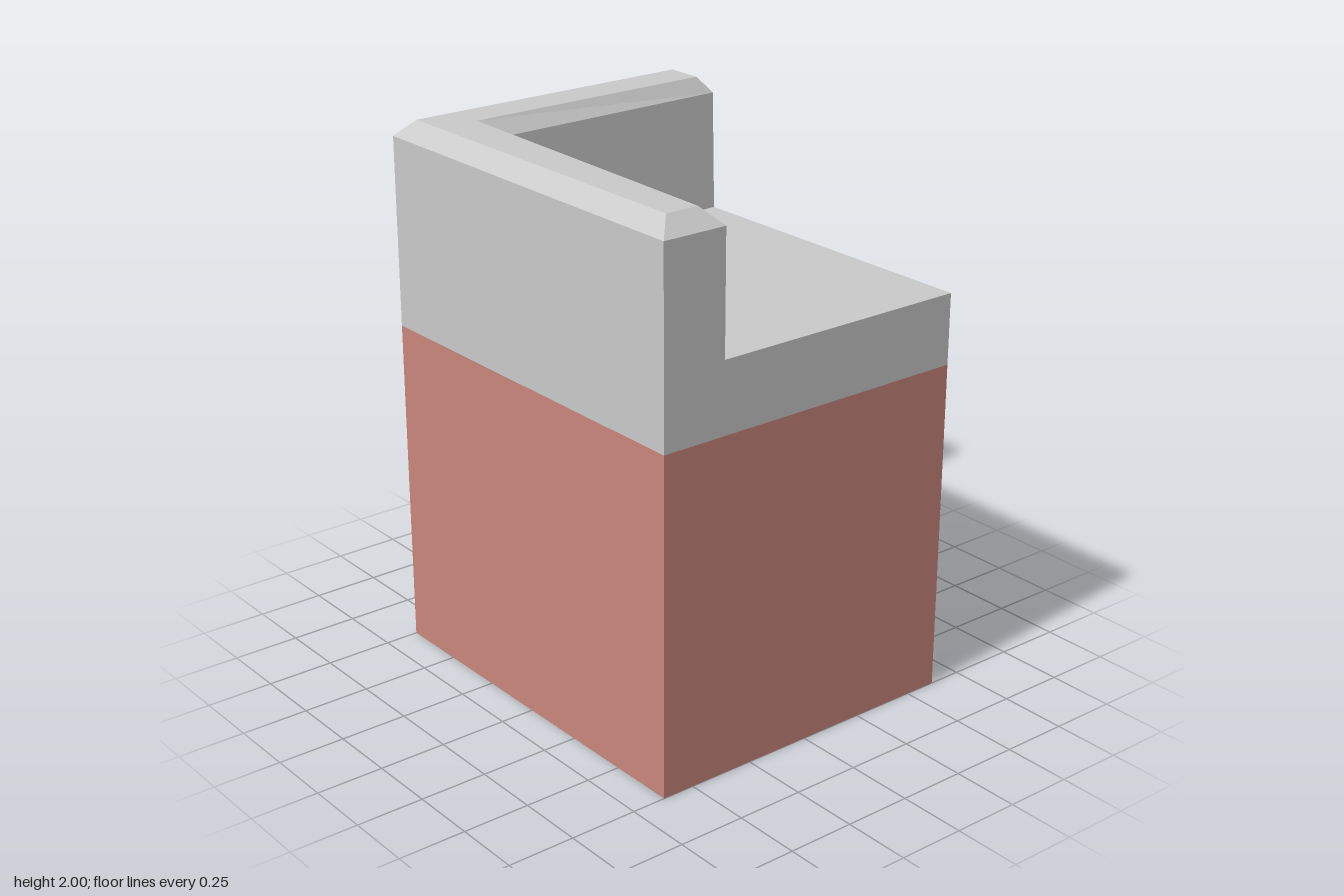
import * as THREE from 'three';

const stone = new THREE.MeshStandardMaterial({ name: 'pale grey', color: 0xcacaca, flatShading: true });
const brick = new THREE.MeshStandardMaterial({ name: 'dusty red', color: 0xca877c, flatShading: true });

// Block filling the full footprint between two heights
function block(name, material, y0, y1) {
  const mesh = new THREE.Mesh(new THREE.BoxGeometry(1.245, y1 - y0, 1.5), material);
  mesh.position.set(0, (y0 + y1) / 2, 0);
  mesh.name = name;
  return mesh;
}

// L-shaped wall lofted through rings of [x, z] corners, closed on top
function loftL(rings) {
  const pos = [];
  const point = (r, i) => [rings[r].pts[i][0], rings[r].y, rings[r].pts[i][1]];
  const quad = (a, b, c, d) => pos.push(...a, ...b, ...c, ...a, ...c, ...d);
  for (let r = 0; r < rings.length - 1; r++) {
    for (let i = 0; i < 6; i++) {
      const j = (i + 1) % 6;
      quad(point(r, i), point(r + 1, i), point(r + 1, j), point(r, j));
    }
  }
  // Top cap, split along the mitre between outer and inner corner
  const t = rings.length - 1;
  quad(point(t, 0), point(t, 3), point(t, 2), point(t, 1));
  quad(point(t, 0), point(t, 5), point(t, 4), point(t, 3));
  const geometry = new THREE.BufferGeometry();
  geometry.setAttribute('position', new THREE.Float32BufferAttribute(pos, 3));
  geometry.computeVertexNormals();
  return geometry;
}

export function createModel() {
  const model = new THREE.Group();
  model.name = 'cornerTower';

  // Lower walls and the roof slab
  model.add(block('lowerWalls', brick, 0, 1.24));
  model.add(block('roofSlab', stone, 1.24, 1.5));

  // Parapet on the back and right sides, with a chamfered top
  const foot = [[-0.6225, -0.75], [0.6225, -0.75], [0.6225, -0.5], [-0.377, -0.5], [-0.377, 0.75], [-0.6225, 0.75]];
  const shoulder = foot.map(([x, z], i) => [x, i === 2 ? -0.512 : z]);
  const crest = [[-0.563, -0.69], [0.573, -0.69], [0.573, -0.548], [-0.408, -0.548], [-0.438, 0.687], [-0.563, 0.687]];
  const parapet = new THREE.Mesh(loftL([
    { y: 1.5, pts: foot },
    { y: 1.94, pts: shoulder },
    { y: 2, pts: crest },
  ]), stone);
  parapet.name = 'parapet';
  model.add(parapet);

  return model;
}
